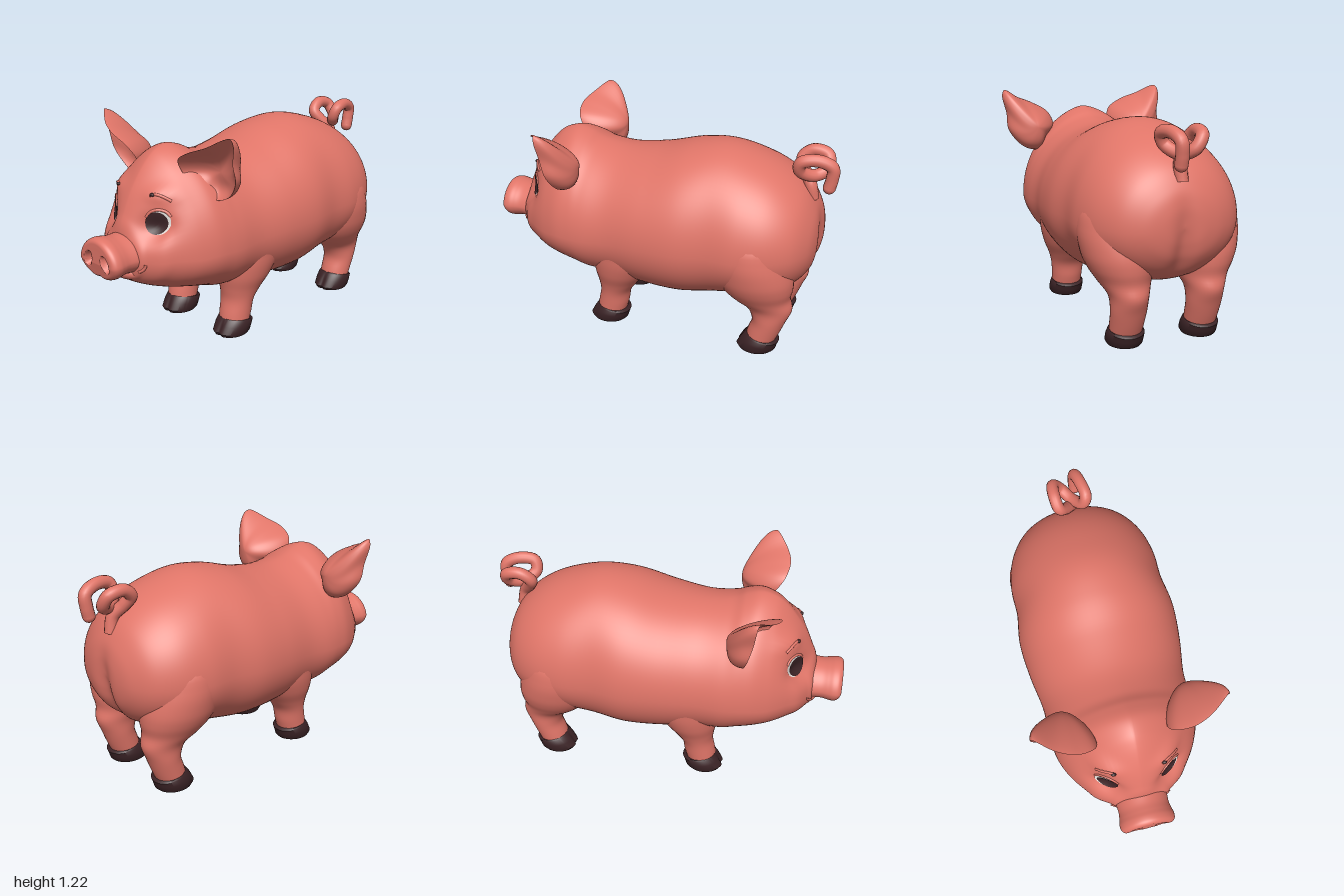
import * as THREE from 'three';
import { mergeVertices, toCreasedNormals } from 'three/addons/utils/BufferGeometryUtils.js';

const TAU = Math.PI * 2;
const gauss = (d, w) => Math.exp(-((d / w) ** 2));

// Smooth surface from fn(u, v) -> [x, y, z]; it faces along du x dv
function surface(nu, nv, fn) {
  const pos = [], index = [];
  for (let j = 0; j <= nv; j++)
    for (let i = 0; i <= nu; i++) pos.push(...fn(i / nu, j / nv));
  for (let j = 0; j < nv; j++)
    for (let i = 0; i < nu; i++) {
      const a = j * (nu + 1) + i, b = a + 1, d = a + nu + 1, c = d + 1;
      index.push(a, b, c, a, c, d);
    }
  let g = new THREE.BufferGeometry();
  g.setAttribute('position', new THREE.Float32BufferAttribute(pos, 3));
  g.setIndex(index);
  g = mergeVertices(g, 1e-5);
  g.computeVertexNormals();
  return g;
}

// Interpolates rows of up to six numbers, smoothly along t = 0..1
function stations(rows) {
  const part = k => new THREE.CatmullRomCurve3(
    rows.map(r => new THREE.Vector3(r[k] ?? 0, r[k + 1] ?? 0, r[k + 2] ?? 0)), false, 'catmullrom', 0.5);
  const a = part(0), b = part(3);
  return t => [...a.getPoint(t).toArray(), ...b.getPoint(t).toArray()];
}

// Mirror copy across x = 0, with the corner order restored
function mirrored(g) {
  const m = g.index ? g.toNonIndexed() : g.clone();
  m.scale(-1, 1, 1);
  for (const name of ['position', 'normal']) {
    const at = m.attributes[name], p = new THREE.Vector3(), q = new THREE.Vector3();
    for (let i = 0; i < at.count; i += 3) {
      p.fromBufferAttribute(at, i + 1);
      q.fromBufferAttribute(at, i + 2);
      at.setXYZ(i + 1, q.x, q.y, q.z);
      at.setXYZ(i + 2, p.x, p.y, p.z);
    }
  }
  return m;
}

// z, top, bottom, half width, height of widest point, taper of the upper half
const BODY = [
  [-0.93, 0.66, 0.64, 0, 0.65, 1], [-0.92, 0.76, 0.55, 0.13, 0.65, 1], [-0.89, 0.85, 0.47, 0.23, 0.64, 1],
  [-0.82, 0.95, 0.39, 0.33, 0.64, 1], [-0.7, 1.035, 0.33, 0.405, 0.64, 1], [-0.55, 1.095, 0.3, 0.442, 0.63, 1],
  [-0.38, 1.13, 0.26, 0.442, 0.63, 1], [-0.2, 1.11, 0.23, 0.465, 0.62, 1], [0, 1.055, 0.23, 0.45, 0.61, 1],
  [0.2, 1.03, 0.255, 0.418, 0.59, 1.05], [0.35, 1.05, 0.27, 0.42, 0.58, 1.15], [0.43, 1.085, 0.295, 0.415, 0.58, 1.2],
  [0.51, 1.105, 0.315, 0.402, 0.58, 1.28], [0.59, 1.085, 0.335, 0.37, 0.57, 1.38], [0.65, 1.04, 0.35, 0.335, 0.57, 1.42],
  [0.71, 0.97, 0.37, 0.29, 0.57, 1.42], [0.765, 0.885, 0.395, 0.245, 0.56, 1.4], [0.81, 0.79, 0.42, 0.18, 0.56, 1.3],
  [0.84, 0.71, 0.45, 0.13, 0.56, 1.1], [0.85, 0.58, 0.56, 0, 0.57, 1],
];

// y, centre x, centre z, x radius, z radius
const FRONT_LEG = [
  [0.05, 0.222, 0.24, 0.086, 0.085], [0.12, 0.222, 0.225, 0.09, 0.09], [0.2, 0.222, 0.21, 0.098, 0.09],
  [0.27, 0.225, 0.19, 0.115, 0.118], [0.36, 0.23, 0.165, 0.148, 0.16], [0.48, 0.233, 0.14, 0.17, 0.19],
  [0.65, 0.23, 0.13, 0.17, 0.18], [0.8, 0.2, 0.12, 0, 0],
];
const HIND_LEG = [
  [0.05, 0.215, -0.665, 0.086, 0.085], [0.12, 0.215, -0.69, 0.09, 0.09], [0.2, 0.215, -0.715, 0.095, 0.095],
  [0.28, 0.215, -0.71, 0.102, 0.13], [0.35, 0.22, -0.655, 0.138, 0.172], [0.42, 0.228, -0.63, 0.172, 0.208],
  [0.5, 0.235, -0.615, 0.193, 0.22], [0.62, 0.237, -0.595, 0.203, 0.208], [0.75, 0.22, -0.58, 0.18, 0.18],
  [0.9, 0.2, -0.56, 0, 0],
];

export function createModel() {
  const pig = new THREE.Group();
  pig.name = 'pig';
  const mat = (name, color, side = THREE.FrontSide) => {
    const m = new THREE.MeshStandardMaterial({ color, side });
    m.name = name;
    return m;
  };
  const skin = mat('pink skin', 0xe07568);
  const dark = mat('dark brown', 0x3b2326, THREE.DoubleSide);
  const white = mat('eye white', 0xe8e4e0, THREE.DoubleSide);
  const add = (name, g, m) => {
    const mesh = new THREE.Mesh(g, m);
    mesh.name = name;
    pig.add(mesh);
    return mesh;
  };
  const pair = (name, g, m) => {
    add(name + 'Left', g, m);
    add(name + 'Right', mirrored(g), m);
  };

  // Body and head in one loft, with a rump crease, eye sockets and brow ridges
  const bodyAt = stations(BODY);
  const body = add('bodyAndHead', surface(96, 140, (u, v) => {
    const [z, top, bottom, w, cy, taper] = bodyAt(v);
    const c = Math.cos(u * TAU), s = Math.sin(u * TAU);
    const x = Math.max(w, 0) * Math.sign(c) * Math.abs(c) ** (s > 0 ? taper : 1);
    const y = cy + s * (s > 0 ? top - cy : cy - bottom);
    const crease = 0.04 * gauss(x, 0.055) * THREE.MathUtils.smoothstep(-z, 0.72, 0.9)
      * (1 - THREE.MathUtils.smoothstep(y, 0.5, 0.88));
    const side = Math.abs(x) - 0.175;
    const face = THREE.MathUtils.smoothstep(z, 0.5, 0.65)
      * (0.03 * gauss(side, 0.08) * gauss(y - 0.9, 0.045) - 0.065 * gauss(side, 0.08) * gauss(y - 0.73, 0.07));
    return [x, y, z + crease + face];
  }), skin);

  // Finds the face surface under a point, for placing details
  const ray = new THREE.Raycaster();
  const faceZ = (x, y) => {
    ray.set(new THREE.Vector3(x, y, 2), new THREE.Vector3(0, 0, -1));
    return ray.intersectObject(body)[0].point.z;
  };
  const facePath = pts => new THREE.CatmullRomCurve3(pts.map(([x, y]) => new THREE.Vector3(x, y, faceZ(x, y))));
  const facePatch = (cx, cy, rx, ry, lift) => surface(32, 8, (u, v) => {
    const r = 1 - v;
    const x = cx + rx * r * Math.cos(u * TAU), y = cy + ry * r * Math.sin(u * TAU);
    return [x, y, faceZ(x, y) + lift];
  });

  // Eyes, lids and brows
  pair('eyeWhite', facePatch(0.179, 0.759, 0.054, 0.063, 0.004), white);
  pair('pupil', facePatch(0.171, 0.755, 0.051, 0.058, 0.009), dark);
  pair('eyelid', new THREE.TubeGeometry(facePath(
    [[0.12, 0.782], [0.138, 0.81], [0.172, 0.824], [0.207, 0.815], [0.228, 0.792]]), 20, 0.008, 8), skin);
  pair('brow', new THREE.TubeGeometry(facePath(
    [[0.125, 0.893], [0.155, 0.9], [0.19, 0.89], [0.22, 0.87]]), 16, 0.008, 8), skin);
  const browTip = new THREE.SphereGeometry(1, 10, 8);
  browTip.scale(0.014, 0.009, 0.011);
  browTip.translate(0.138, 0.898, faceZ(0.138, 0.898) + 0.003);
  pair('browTip', browTip, dark);

  // Snout with two slanted nostril hollows: z, scale
  const snoutAt = stations([[0.74, 1], [0.82, 0.95], [0.88, 0.92], [0.92, 0.96], [0.95, 1], [0.975, 0.985],
    [0.99, 0.92], [0.997, 0.83], [0.998, 0.7], [0.998, 0.5], [0.998, 0.3], [0.998, 0.15], [0.998, 0]]);
  add('snout', surface(80, 84, (u, v) => {
    const [z, k] = snoutAt(v);
    const c = Math.cos(u * TAU), s = Math.sin(u * TAU);
    const x = 0.155 * k * c * (s > 0 ? 1 - 0.12 * s : 1);
    const y = 0.568 + k * s * (s > 0 ? 0.125 : 0.1 - 0.012 * gauss(x, 0.025));
    const dx = Math.abs(x) - 0.07, dy = y - 0.572;
    const d = Math.hypot((dx * 0.88 + dy * 0.47) / 0.03, (dy * 0.88 - dx * 0.47) / 0.046);
    const hollow = z > 0.95 && d < 1 ? 0.05 * (1 - d * d) ** 0.7 : 0;
    const tilt = z > 0.9 ? (z - 0.9) * 2.2 * Math.max(0, 0.56 - y) : 0;
    return [x, y, z - hollow - tilt];
  }), skin);

  // Chin and the corners of the smile
  const chin = new THREE.SphereGeometry(1, 32, 20);
  chin.scale(0.115, 0.05, 0.075);
  chin.translate(0, 0.478, 0.8);
  add('chin', chin, skin);
  pair('smile', new THREE.TubeGeometry(facePath(
    [[0.135, 0.505], [0.155, 0.518], [0.168, 0.535], [0.172, 0.552]]), 14, 0.008, 8), skin);

  // Cupped ears: rounded back shell, rim, hollow front
  const rim = new THREE.CatmullRomCurve3([
    [0.5, 1.215, 0.54], [0.4, 1.165, 0.61], [0.3, 1.125, 0.64], [0.21, 1.07, 0.62], [0.19, 0.99, 0.57],
    [0.26, 0.92, 0.55], [0.32, 0.855, 0.48], [0.41, 0.88, 0.465], [0.49, 0.98, 0.49], [0.495, 1.08, 0.515],
    [0.515, 1.18, 0.53]].map(p => new THREE.Vector3(...p)), true);
  pair('ear', surface(64, 40, (u, v) => {
    const s = Math.sin(v * Math.PI), p = rim.getPoint(u % 1), k = s * s;
    const depth = v < 0.5 ? 0.165 * Math.cos(v * Math.PI) : 0.085 * (1 - s ** 4);
    const a = (u + 0.14) * TAU;
    const ox = 0.13 * Math.cos(a), oy = 0.13 * Math.sin(a);
    return [0.34 + s * THREE.MathUtils.lerp(ox, p.x - 0.34, k), 1 + s * THREE.MathUtils.lerp(oy, p.y - 1, k),
      0.53 + (p.z - 0.53) * k - depth];
  }), skin);

  // Legs and cloven hooves; hoof rows are y, z offset, x radius, z radius
  const hoofRows = [[0, 0.01, 0, 0], [0, 0.01, 0.088, 0.1], [0.015, 0.01, 0.097, 0.112],
    [0.05, -0.005, 0.099, 0.105], [0.08, -0.022, 0.096, 0.097], [0.088, -0.024, 0.089, 0.088], [0.088, -0.024, 0, 0]];
  for (const [name, rows, hz] of [['front', FRONT_LEG, 0.245], ['hind', HIND_LEG, -0.66]]) {
    const at = stations(rows);
    pair(name + 'Leg', surface(40, 40, (u, v) => {
      const [y, cx, cz, rx, rz] = at(v);
      return [cx + rx * Math.cos(u * TAU), y, cz - rz * Math.sin(u * TAU)];
    }), skin);
    const hoof = surface(64, hoofRows.length - 1, (u, v) => {
      const [y, oz, rx, rz] = hoofRows[Math.round(v * (hoofRows.length - 1))];
      const k = 1 - (y < 0.07 ? 0.12 : 0.02) * gauss(u - 0.75, 0.025);
      const dz = -rz * Math.sin(u * TAU);
      return [rows[0][1] + rx * k * Math.cos(u * TAU), y + dz * y * 2.2, hz + oz + dz * k];
    });
    pair(name + 'Hoof', toCreasedNormals(hoof, 0.8), dark);
  }

  // Corkscrew tail
  const tailPath = new THREE.CatmullRomCurve3([
    [0, 0.87, -0.86], [0, 0.96, -0.84], [-0.04, 1.02, -0.795], [-0.075, 1.07, -0.775], [-0.088, 1.115, -0.83],
    [-0.08, 1.1, -0.91], [-0.04, 1.04, -0.92], [0.01, 1.01, -0.86], [0.065, 1.05, -0.79], [0.085, 1.105, -0.8],
    [0.07, 1.12, -0.89], [0.055, 1.085, -0.96], [0.05, 1.02, -0.96], [0.05, 0.97, -0.95]]
    .map(p => new THREE.Vector3(...p)));
  add('tail', new THREE.TubeGeometry(tailPath, 110, 0.034, 14), skin);
  const tip = new THREE.SphereGeometry(0.034, 16, 12);
  tip.translate(0.05, 0.97, -0.95);
  add('tailTip', tip, skin);

  return pig;
}
